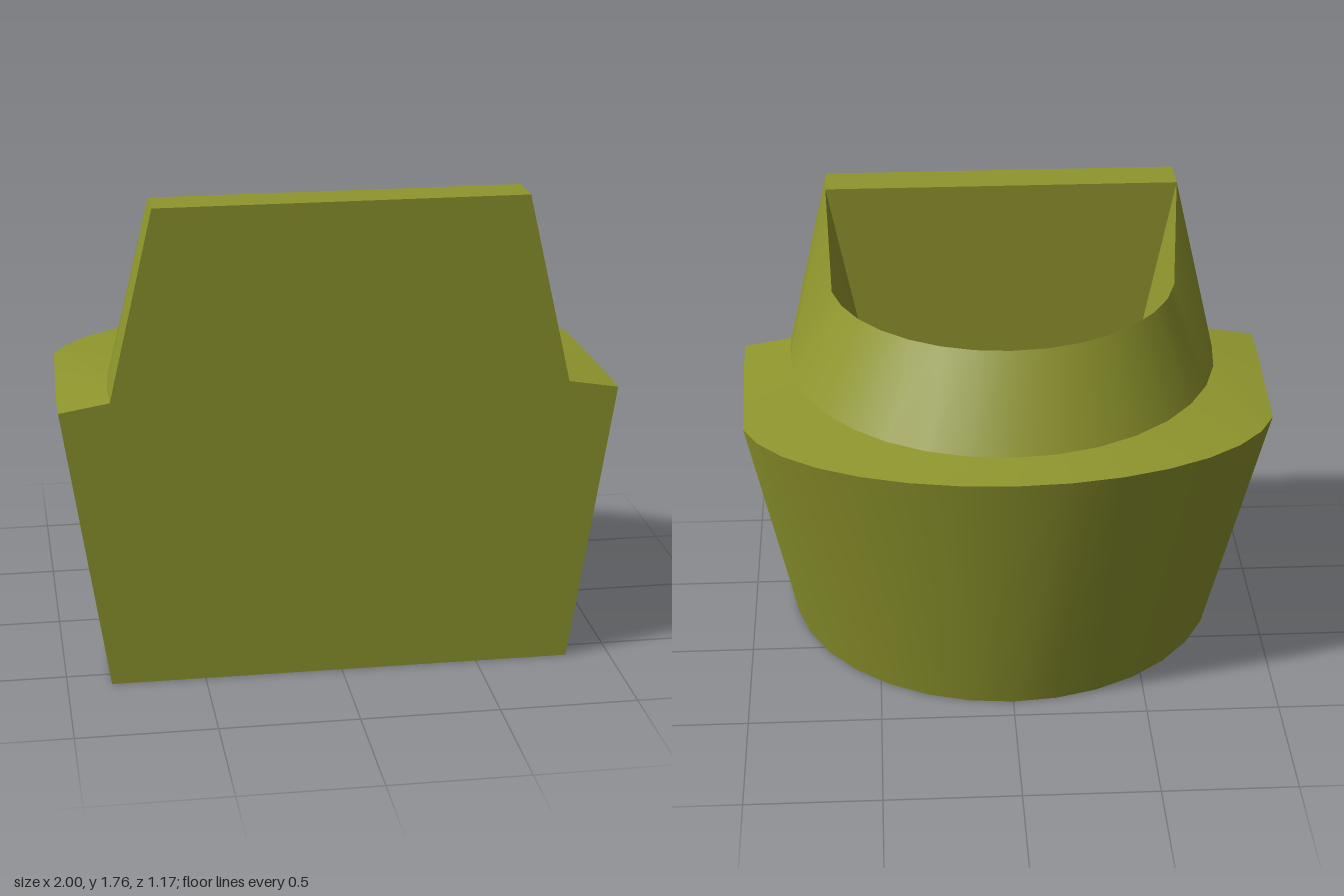
import * as THREE from 'three';

const STEPS = 16;
const WALL_BACK = 0.43, FRONT = 0.585;

const olive = new THREE.MeshStandardMaterial({ color: 0x8f962d, side: THREE.DoubleSide });
const cyan = new THREE.MeshStandardMaterial({ color: 0x45d8e2, side: THREE.DoubleSide });

// Half ring running from -x round the back to +x; its two ends meet the front wall.
function ring(y, rx, rz, zc, endY = y) {
  const points = [];
  for (let i = 0; i <= STEPS; i++) {
    const a = (i / STEPS - 0.5) * Math.PI;
    const end = i === 0 || i === STEPS;
    points.push([rx * Math.sin(a), end ? endY : y, end ? WALL_BACK : zc - rz * Math.cos(a)]);
  }
  return points;
}

// Surface between two half rings, facing away from the middle when lower comes first.
function band(name, lower, upper, material = olive) {
  const index = [];
  const n = lower.length;
  for (let i = 0; i < n - 1; i++) {
    index.push(i, n + i, i + 1, i + 1, n + i, n + i + 1);
  }
  const geometry = new THREE.BufferGeometry();
  geometry.setAttribute('position', new THREE.Float32BufferAttribute([...lower, ...upper].flat(), 3));
  geometry.setIndex(index);
  geometry.computeVertexNormals();
  const mesh = new THREE.Mesh(geometry, material);
  mesh.name = name;
  return mesh;
}

export function createModel() {
  const group = new THREE.Group();
  group.name = 'basin';

  // Flat front wall with shoulders
  const half = [[0.84, 0], [1, 1.04], [0.82, 1.07], [0.66, 1.76]];
  const outline = [...half, ...half.map(([x, y]) => [-x, y]).reverse()];
  const shape = new THREE.Shape(outline.map(([x, y]) => new THREE.Vector2(x, y)));
  const wall = new THREE.Mesh(
    new THREE.ExtrudeGeometry(shape, { depth: FRONT - WALL_BACK, bevelEnabled: false }), olive);
  wall.position.z = WALL_BACK;
  wall.name = 'frontWall';
  group.add(wall);

  // Half rings from the open foot up to the rim, then down into the bowl
  const foot = ring(0, 0.84, 0.84, 0.43);
  const shoulder = ring(1.04, 1, 0.585, 0);
  const neck = ring(1.07, 0.82, 0.85, 0.42);
  const rim = ring(1.4, 0.66, 0.66, 0.425, 1.76);
  const waterline = ring(0.9, 0.49, 0.49, 0.43);
  const bowlEnd = ring(0.58, 0.32, 0.32, 0.43);

  group.add(
    band('body', foot, shoulder),
    band('shoulder', shoulder, neck),
    band('collar', neck, rim),
    band('bowl', rim, waterline),
    band('bowlUnderside', bowlEnd, waterline),
    band('bowlBottom', ring(0.58, 0, 0, 0.43), bowlEnd),
    band('water', waterline, ring(0.9, 0, 0, 0.43), cyan),
  );
  return group;
}
